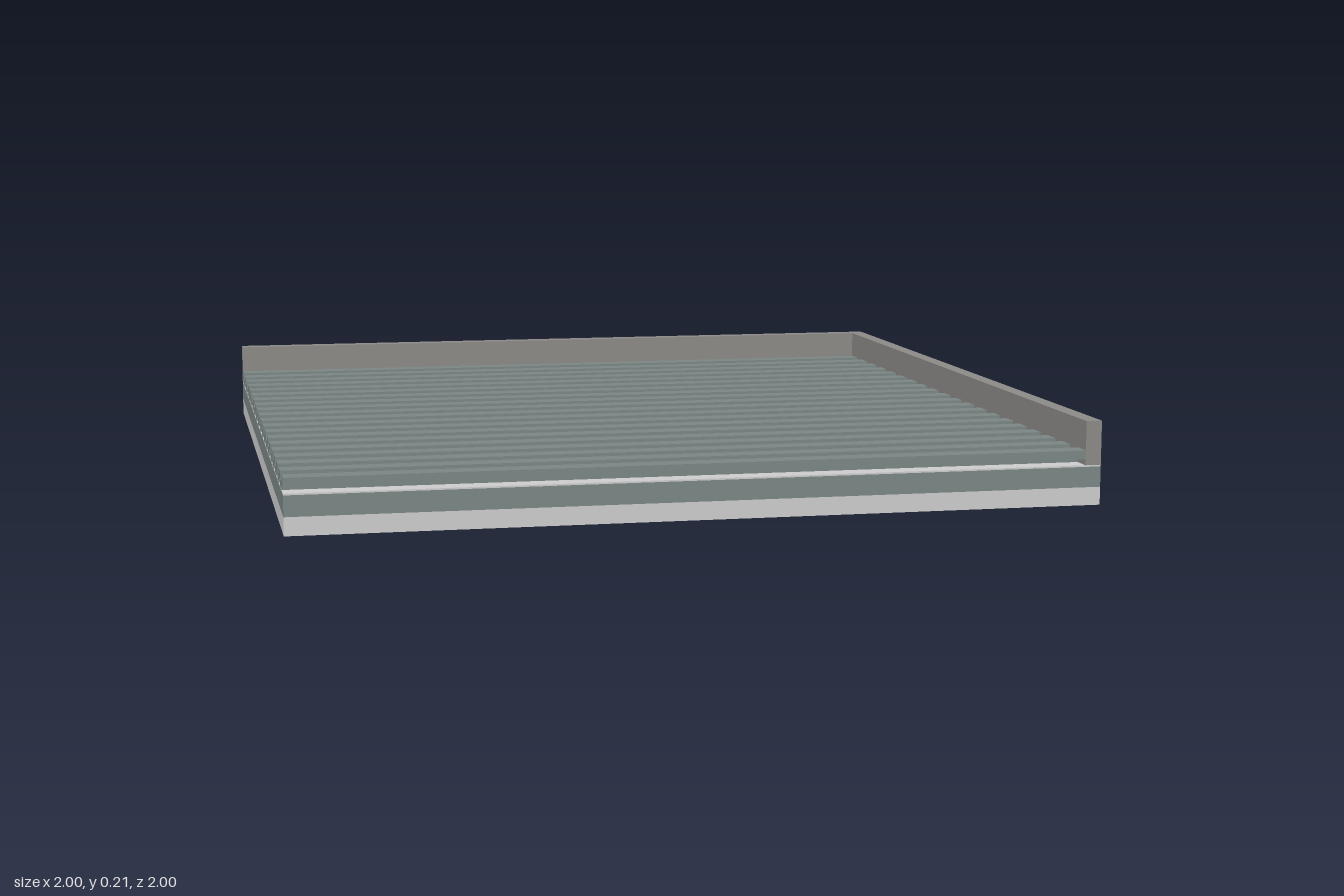
import * as THREE from 'three';

const material = (color) => new THREE.MeshStandardMaterial({ color });

// Box given by its min and max corners
function slab(name, mat, [x0, y0, z0], [x1, y1, z1]) {
  const mesh = new THREE.Mesh(new THREE.BoxGeometry(x1 - x0, y1 - y0, z1 - z0), mat);
  mesh.name = name;
  mesh.position.set((x0 + x1) / 2, (y0 + y1) / 2, (z0 + z1) / 2);
  return mesh;
}

export function createModel() {
  const group = new THREE.Group();
  group.name = 'roofDeckPanel';
  const light = material(0xcccccc);
  const slate = material(0x7a8583);
  const trim = material(0x8a8986);

  const inner = 0.96; // inside face of the two upstands

  // Layered base
  group.add(slab('baseBoard', light, [-1, 0, -1], [1, 0.045, 1]));
  group.add(slab('coreLayer', slate, [-1, 0.045, -1], [1, 0.096, 1]));
  group.add(slab('membrane', light, [-1, 0.096, -1], [1, 0.1, 1]));

  // Stepped sheet: raised strips over hollows, alternating with low strips
  const sheet = new THREE.Group();
  sheet.name = 'corrugatedSheet';
  for (let i = 0; i < 20; i++) {
    const z = 1 - i * 0.1;
    sheet.add(slab('raisedStrip', slate, [-1, 0.115, z - 0.05], [inner, 0.137, z]));
    const back = Math.max(z - 0.1, -inner);
    sheet.add(slab('lowStrip', slate, [-1, 0.1, back], [inner, 0.12, z - 0.05]));
  }
  group.add(sheet);

  // Upstands along the back and the left side
  group.add(slab('backUpstand', trim, [-1, 0.1, -1], [1, 0.21, -inner]));
  group.add(slab('leftUpstand', trim, [inner, 0.1, -inner], [1, 0.21, 1]));

  return group;
}
